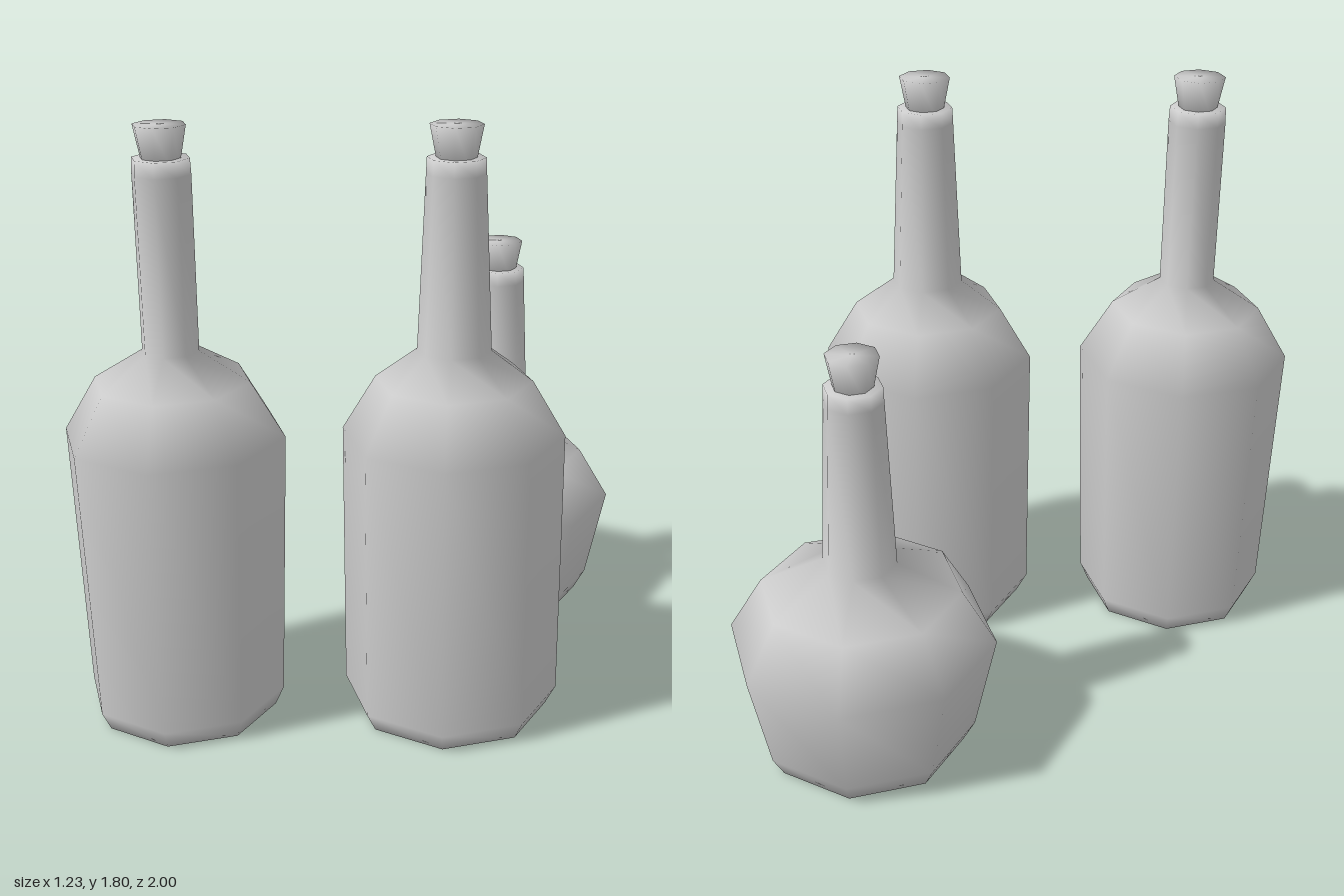
import * as THREE from 'three';

const SIDES = 8;
const material = new THREE.MeshStandardMaterial({ color: 0xcccccc });

// Eight-sided smooth solid of revolution from [radius, height] pairs, bottom to top
function turned(name, profile) {
  const points = profile.map(([r, y]) => new THREE.Vector2(r, y));
  const mesh = new THREE.Mesh(new THREE.LatheGeometry(points, SIDES), material);
  mesh.name = name;
  return mesh;
}

// Closed bottle: body profile, then neck up to the rim, with a flared cork on top
function bottle(name, x, z, body, neckBase, rimY) {
  const rim = 0.083;
  const group = new THREE.Group();
  group.name = name;
  group.add(turned('glass', [
    [0, 0],
    ...body,
    neckBase,
    [rim + 0.002, rimY - 0.045],
    [rim, rimY],
    [0, rimY],
  ]));
  group.add(turned('cork', [
    [0, rimY - 0.02],
    [0.054, rimY - 0.02],
    [0.076, rimY + 0.092],
    [0, rimY + 0.092],
  ]));
  group.position.set(x, 0, z);
  return group;
}

export function createModel() {
  const model = new THREE.Group();
  model.name = 'bottles';
  model.add(
    // Tall bottle with a tapering body and straight neck
    bottle('taperedBottle', -0.223, 0.67,
      [[0.275, 0], [0.302, 0.06], [0.329, 0.895], [0.23, 1.06]], [0.084, 1.15], 1.708),
    // Tall bottle with a straight body and tapering neck
    bottle('straightBottle', 0.285, 0.03,
      [[0.297, 0], [0.328, 0.06], [0.328, 0.895], [0.23, 1.06]], [0.108, 1.15], 1.708),
    // Short round-bellied bottle
    bottle('roundBottle', -0.223, -0.606,
      [[0.295, 0], [0.33, 0.065], [0.394, 0.365], [0.295, 0.53]], [0.108, 0.617], 1.178),
  );
  return model;
}
